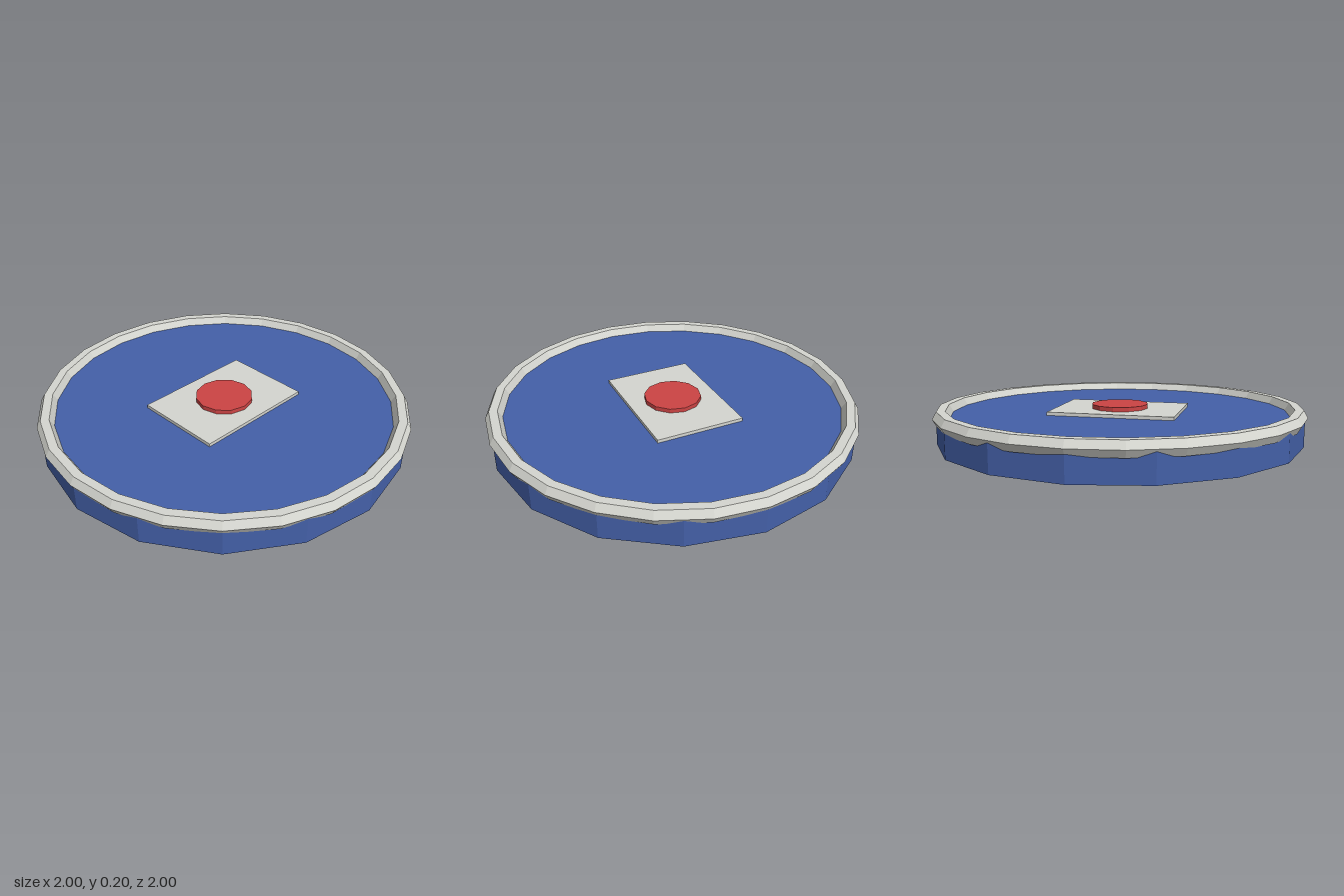
import * as THREE from 'three';

const flat = (name, color) => {
  const m = new THREE.MeshStandardMaterial({ color, flatShading: true });
  m.name = name;
  return m;
};

export function createModel() {
  const blue = flat('blue', 0x4460a8);
  const grey = flat('light grey', 0xd5d6d0);
  const red = flat('red', 0xcc4444);

  const group = new THREE.Group();
  group.name = 'roundButtonPad';
  const add = (name, geometry, material, y) => {
    const mesh = new THREE.Mesh(geometry, material);
    mesh.name = name;
    mesh.position.y = y;
    group.add(mesh);
  };

  const deck = 0.157; // height of the flat blue top

  // Sixteen-sided base drum
  add('base', new THREE.CylinderGeometry(0.985, 0.985, deck, 16), blue, deck / 2);

  // Rim ring with a hexagonal section, half sunk into the base edge
  add('rim', new THREE.TorusGeometry(0.955, 0.045, 6, 24).rotateX(-Math.PI / 2), grey, deck);

  // Rectangular plate and the round button on it
  add('plate', new THREE.BoxGeometry(0.68, 0.04, 0.485), grey, 0.155);
  add('button', new THREE.CylinderGeometry(0.155, 0.155, 0.04, 12), red, 0.178);

  return group;
}
